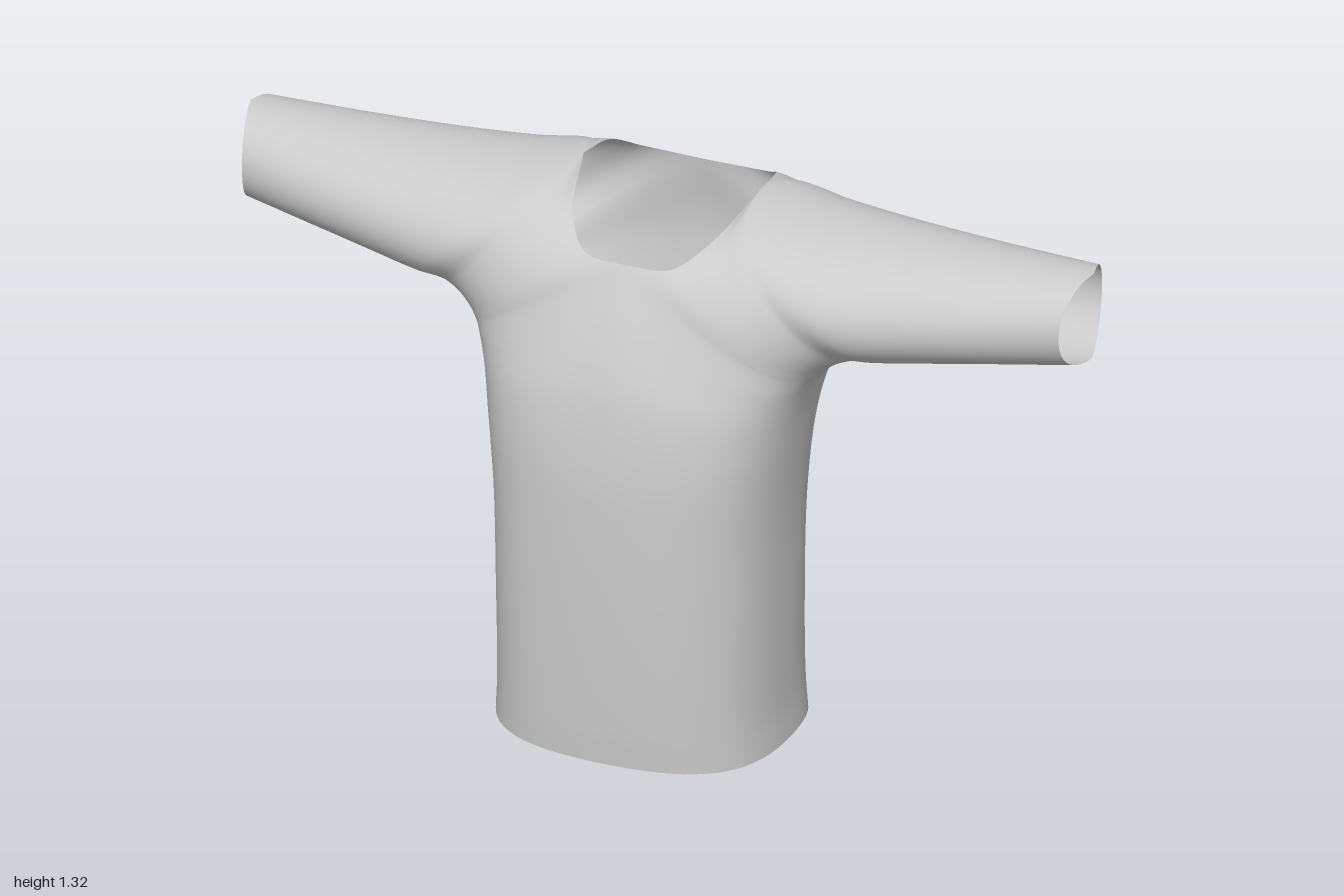
import * as THREE from 'three';
import { mergeVertices } from 'three/addons/utils/BufferGeometryUtils.js';

const { lerp } = THREE.MathUtils;
const vec = (x, y, z) => new THREE.Vector3(x, y, z);

// Each station is a cross-section of one half of the garment, made of two cubics:
// front edge, 2 handles, underside point, 2 handles, back edge.

// Horizontal half ring of the body; drop lowers its back
function body(y, w, zf, zb, drop = 0) {
  return [vec(0, y, zf), vec(0.76 * w, y, zf), vec(w, y, 0.7 * zf), vec(w, y, 0),
    vec(w, y, 0.7 * zb), vec(0.65 * w, y - drop, zb), vec(0, y - drop / 2, zb)];
}

// Slanted half ring from the centre or neck edges to the armpit curve (sx, sy);
// t runs from 0 at the chest to 1 at the shoulder
function yoke(t, front, back, sx, sy, bulgeFront, bulgeBack) {
  const under = vec(sx, sy, lerp(-0.02, -0.09, t));
  const handle = (edge, bulge) =>
    edge.clone().lerp(under, 0.65 * (1 - t)).setZ(lerp(edge.z, bulge, t));
  return [front, handle(front, bulgeFront), vec(sx, sy, bulgeFront), under,
    vec(sx, sy, bulgeBack), handle(back, bulgeBack), back];
}

// Closed ring of the tapering sleeve, t from 0 at the shoulder to 1 at the cuff
function sleeve(t) {
  const zc = -0.1, dip = 0.04 * t;
  const top = vec(lerp(0.34, 1, t), 1.28 + 0.022 * (1 - t) ** 3, zc);
  const under = vec(lerp(0.56, 0.995, t), lerp(1.005, 1.065, t), zc);
  const front = lerp(0.245, 0.125, t) * 4 / 3, back = -lerp(0.182, 0.122, t) * 4 / 3;
  const handle = (p, dz) => vec(p.x - dip, p.y, zc + dz);
  return [top, handle(top, front), handle(under, front), under,
    handle(under, back), handle(top, back), top.clone()];
}

const NECK = 7;      // station where the centre line meets the neckline
const SHOULDER = 10; // station where front and back join on the shoulder
const shoulder = vec(0.21, 1.32, -0.1);

const stations = [
  // hem and body
  body(0.04, 0.335, 0.3, -0.27, 0.063),
  body(0.13, 0.33, 0.306, -0.26),
  body(0.36, 0.332, 0.311, -0.242),
  body(0.6, 0.338, 0.31, -0.245),
  body(0.78, 0.354, 0.302, -0.272),
  // chest
  yoke(0, vec(0, 0.95, 0.277), vec(0, 0.95, -0.298), 0.371, 0.88, 0.237, -0.223),
  yoke(0.2, vec(0, 1.1, 0.225), vec(0, 1.1, -0.31), 0.392, 0.938, 0.259, -0.287),
  // neckline, centre to shoulder
  yoke(0.4, vec(0, 1.22, 0.165), vec(0, 1.25, -0.29), 0.413, 0.964, 0.27, -0.33),
  yoke(0.6, vec(0.1, 1.222, 0.15), vec(0.15, 1.255, -0.285), 0.43, 0.976, 0.25, -0.34),
  yoke(0.8, vec(0.165, 1.265, 0.07), vec(0.195, 1.295, -0.22), 0.453, 0.986, 0.245, -0.35),
  yoke(1, shoulder, shoulder, 0.5, 0.997, 0.23, -0.355),
  // sleeve
  ...[0, 0.27, 0.64, 1].map(sleeve),
];

// Smooth path through one control point of every station, breaking at the corners
function rail(k, corners) {
  const points = stations.map((s) => s[k]);
  const spans = corners.slice(1).map((end, n) => ({
    start: corners[n], end, curve: new THREE.CatmullRomCurve3(points.slice(corners[n], end + 1)),
  }));
  return (s) => {
    const { start, end, curve } = spans.find((span) => s <= span.end);
    return curve.getPoint((s - start) / (end - start));
  };
}

function createGarmentGeometry() {
  const perStation = 6, half = 20, last = stations.length - 1;
  const rows = last * perStation, cols = half * 2 + 1;
  const rails = stations[0].map((_, k) =>
    rail(k, k % 6 === 0 ? [0, NECK, SHOULDER, last] : [0, last]));

  const positions = [], index = [];
  for (const side of [1, -1]) {
    const base = positions.length / 3;
    for (let i = 0; i <= rows; i++) {
      const c = rails.map((at) => at(i / perStation));
      const front = new THREE.CubicBezierCurve3(...c.slice(0, 4));
      const back = new THREE.CubicBezierCurve3(...c.slice(3));
      for (let j = 0; j < cols; j++) {
        const p = j <= half ? front.getPoint(j / half) : back.getPoint(j / half - 1);
        positions.push(side * p.x, p.y, p.z);
        if (i === rows || j === cols - 1) continue;
        const a = base + i * cols + j, b = a + 1, d = a + cols, e = d + 1;
        if (side > 0) index.push(a, b, d, b, e, d);
        else index.push(a, d, b, b, d, e);
      }
    }
  }
  const raw = new THREE.BufferGeometry();
  raw.setAttribute('position', new THREE.Float32BufferAttribute(positions, 3));
  raw.setIndex(index);

  // Weld the centre and shoulder seams so shading runs across them
  const geometry = mergeVertices(raw, 1e-4);
  geometry.computeVertexNormals();
  return geometry;
}

export function createModel() {
  const group = new THREE.Group();
  group.name = 'sweater';
  const material = new THREE.MeshStandardMaterial({ color: 0xcccccc, side: THREE.DoubleSide });
  const garment = new THREE.Mesh(createGarmentGeometry(), material);
  garment.name = 'bodyAndSleeves';
  group.add(garment);
  return group;
}
